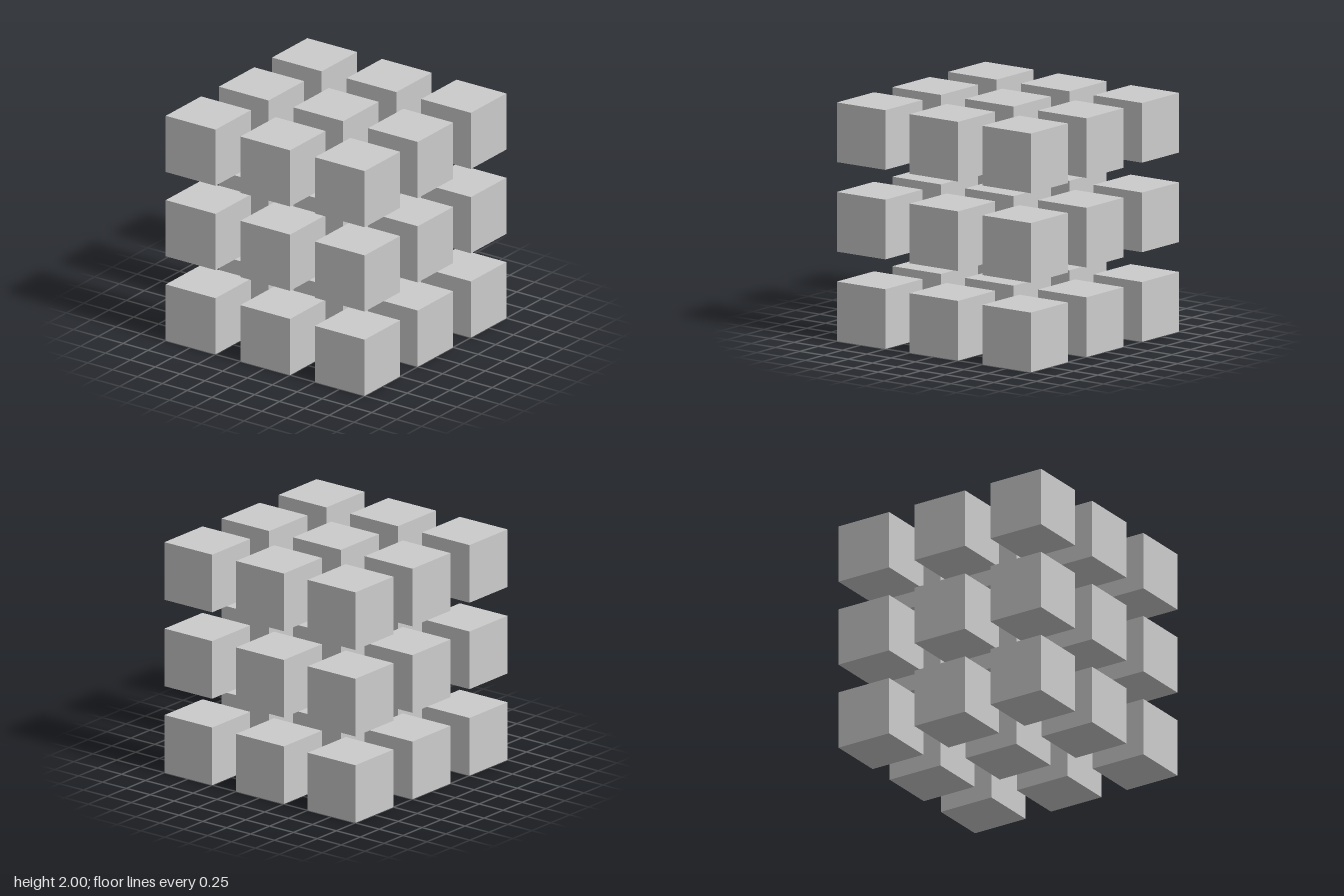
import * as THREE from 'three';

const SIZE = 0.5; // edge of one cube
const PITCH = 0.75; // spacing between cube centres

export function createModel() {
  const model = new THREE.Group();
  model.name = 'cubeGrid';
  const geometry = new THREE.BoxGeometry(SIZE, SIZE, SIZE);
  const material = new THREE.MeshStandardMaterial({ color: 0xcccccc, flatShading: true });

  // three layers of three by three separate cubes
  ['bottomLayer', 'middleLayer', 'topLayer'].forEach((name, level) => {
    const layer = new THREE.Group();
    layer.name = name;
    layer.position.y = SIZE / 2 + level * PITCH;
    for (let row = -1; row <= 1; row++) {
      for (let column = -1; column <= 1; column++) {
        const cube = new THREE.Mesh(geometry, material);
        cube.name = 'cube';
        cube.position.set(column * PITCH, 0, row * PITCH);
        layer.add(cube);
      }
    }
    model.add(layer);
  });
  return model;
}
